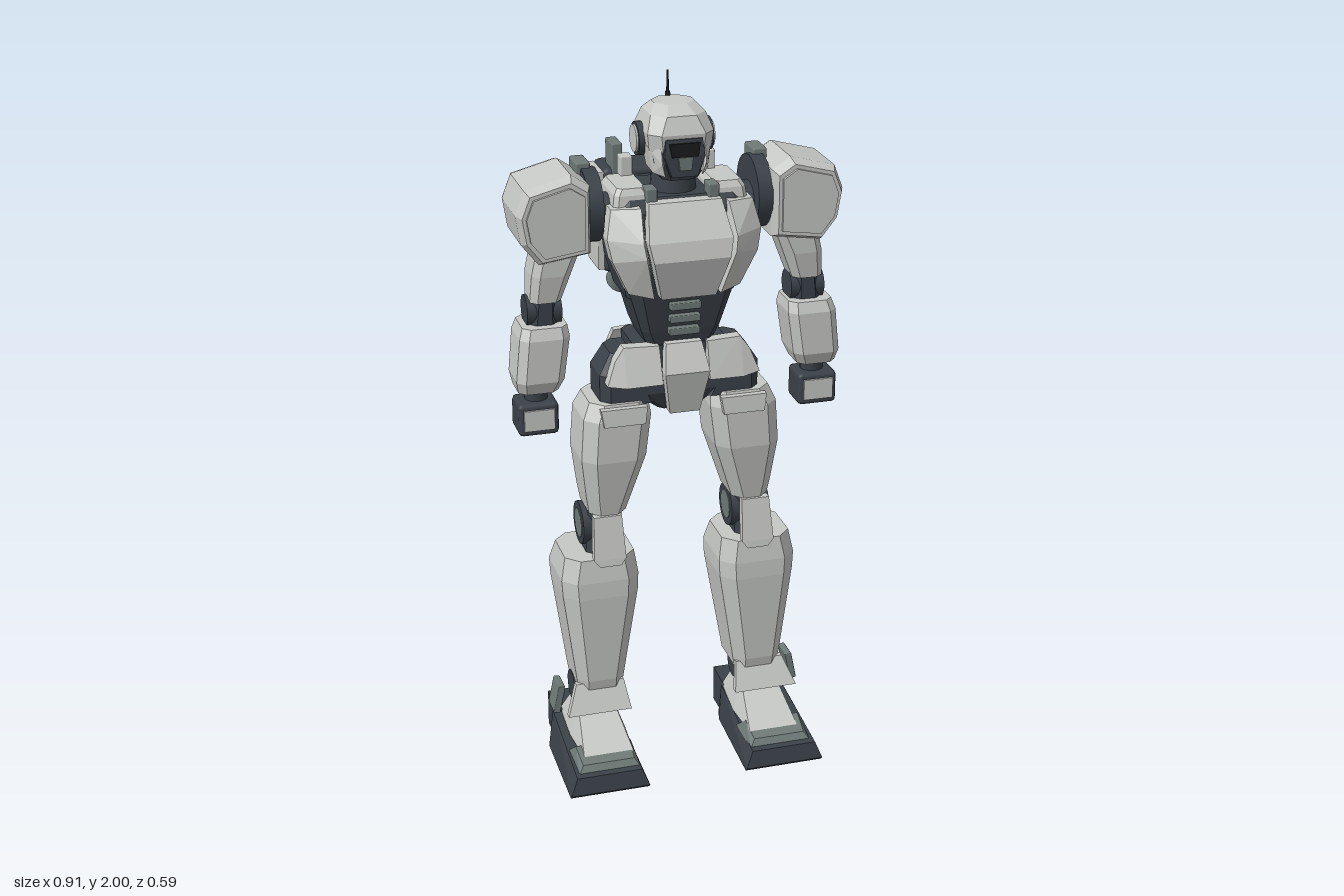
import * as THREE from 'three';
import { ConvexGeometry } from 'three/addons/geometries/ConvexGeometry.js';
import { RoundedBoxGeometry } from 'three/addons/geometries/RoundedBoxGeometry.js';

const paint = (name, color) => {
  const m = new THREE.MeshStandardMaterial({ color });
  m.name = name;
  return m;
};

export function createModel() {
  const light = paint('light grey armour', 0xc6c8c5);
  const dark = paint('dark slate frame', 0x3a4148);
  const mid = paint('grey green detail', 0x6e7a77);
  const black = paint('black recess', 0x17191c);
  const model = new THREE.Group();
  model.name = 'robot';

  const add = (name, geo, mat, parent = model) => {
    const m = new THREE.Mesh(geo, mat);
    m.name = name;
    parent.add(m);
    return m;
  };
  const hull = (pts) => new ConvexGeometry(pts.map((p) => new THREE.Vector3(...p)));

  // Chamfered body through sections [y, x0, x1, z0, z1, chamfer], mirrored by s
  const body = (secs, s = 1) => {
    const pts = [];
    for (const [y, x0, x1, z0, z1, c] of secs) {
      for (const [x, dx] of [[x0, c], [x1, -c]]) {
        for (const [z, dz] of [[z0, c], [z1, -c]]) {
          pts.push([s * (x + dx), y, z], [s * x, y, z + dz]);
        }
      }
    }
    return hull(pts);
  };
  // Armour plate from an outer outline of [x, y, z], thickened backwards
  const plate = (outline, t, s = 1) => hull(outline.flatMap(([x, y, z]) => [[s * x, y, z], [s * x, y, z - t]]));
  // Prism from a side profile of [z, y] between x0 and x1
  const sideProfile = (pts, x0, x1, s = 1) => hull(pts.flatMap(([z, y]) => [[s * x0, y, z], [s * x1, y, z]]));
  const box = (name, mat, x, y, z, w, h, d, parent) => {
    const m = add(name, new RoundedBoxGeometry(w, h, d, 1, Math.min(w, h, d) * 0.14), mat, parent);
    m.position.set(x, y, z);
    return m;
  };
  // Disc or barrel lying along x
  const barrel = (name, mat, x, y, z, r, len, parent) => {
    const m = add(name, new THREE.CylinderGeometry(r, r, len, 24), mat, parent);
    m.rotation.z = Math.PI / 2;
    m.position.set(x, y, z);
    return m;
  };

  // Head
  const head = new THREE.Group();
  head.name = 'head';
  model.add(head);
  add('helmet', body([[1.82, -0.085, 0.085, -0.06, 0.13, 0.03], [1.865, -0.09, 0.09, -0.06, 0.135, 0.03],
    [1.91, -0.075, 0.075, -0.045, 0.115, 0.035], [1.932, -0.055, 0.055, -0.02, 0.075, 0.03]]), light, head);
  add('innerHead', body([[1.74, -0.05, 0.05, -0.03, 0.12, 0.02], [1.79, -0.075, 0.075, -0.05, 0.135, 0.025],
    [1.83, -0.08, 0.08, -0.055, 0.13, 0.025]]), dark, head);
  add('faceFrame', plate([[-0.05, 1.855, 0.138], [0.05, 1.855, 0.138], [0.055, 1.81, 0.145],
    [0.035, 1.755, 0.145], [-0.035, 1.755, 0.145], [-0.055, 1.81, 0.145]], 0.04), dark, head);
  add('visor', plate([[-0.042, 1.845, 0.146], [0.042, 1.845, 0.146], [0.036, 1.81, 0.15], [-0.036, 1.81, 0.15]], 0.009), black, head);
  add('mouthGuard', plate([[-0.02, 1.81, 0.154], [0.02, 1.81, 0.154], [0.016, 1.775, 0.154], [-0.016, 1.775, 0.154]], 0.01), mid, head);
  box('rearHeadSlot', light, 0, 1.8, -0.052, 0.07, 0.015, 0.01, head);
  for (const s of [1, -1]) {
    barrel('earDisc', dark, s * 0.09, 1.835, 0.025, 0.045, 0.025, head);
    barrel('earCap', light, s * 0.1, 1.835, 0.025, 0.037, 0.016, head);
    add('cheekGuard', hull([[0.06, 1.83, 0.13], [0.088, 1.83, 0.09], [0.088, 1.83, 0.03], [0.08, 1.77, 0.05],
      [0.075, 1.76, 0.1], [0.05, 1.755, 0.135], [0.06, 1.79, 0.14], [0.06, 1.8, 0.04]].map(([x, y, z]) => [s * x, y, z])), light, head);
  }
  add('antenna', new THREE.CylinderGeometry(0.003, 0.004, 0.08, 8), black, head).position.set(0, 1.96, -0.02);
  add('antennaBase', new THREE.CylinderGeometry(0.007, 0.008, 0.025, 10), black, head).position.set(0, 1.93, -0.02);
  add('neck', new THREE.CylinderGeometry(0.055, 0.065, 0.1, 20), dark).position.set(0, 1.72, 0.03);

  // Torso
  add('torsoFrame', body([[1.42, -0.15, 0.15, -0.06, 0.13, 0.025], [1.5, -0.17, 0.17, -0.09, 0.15, 0.03],
    [1.66, -0.185, 0.185, -0.1, 0.14, 0.035], [1.695, -0.175, 0.175, -0.09, 0.11, 0.035]]), dark);
  add('abdomen', body([[1.26, -0.085, 0.085, -0.05, 0.11, 0.02], [1.32, -0.11, 0.11, -0.055, 0.125, 0.02],
    [1.45, -0.15, 0.15, -0.06, 0.15, 0.03]]), dark);
  for (let i = 0; i < 3; i++) box('abdomenVent', mid, 0, 1.325 + i * 0.038, 0.135 + i * 0.006, 0.085, 0.02, 0.03);
  add('chestPlate', plate([[-0.1, 1.69, 0.15], [0.1, 1.69, 0.15], [0.115, 1.6, 0.21], [0.105, 1.55, 0.222],
    [0.075, 1.435, 0.185], [-0.075, 1.435, 0.185], [-0.105, 1.55, 0.222], [-0.115, 1.6, 0.21]], 0.04), light);
  for (const s of [1, -1]) {
    add('sideChestPlate', plate([[0.12, 1.68, 0.15], [0.195, 1.675, 0.12], [0.212, 1.6, 0.145], [0.2, 1.54, 0.155],
      [0.155, 1.445, 0.145], [0.092, 1.435, 0.175], [0.122, 1.56, 0.215], [0.128, 1.6, 0.205]], 0.05, s), light);
    add('collarArmour', body([[1.67, 0.085, 0.185, -0.055, 0.115, 0.012], [1.705, 0.085, 0.18, -0.05, 0.11, 0.012],
      [1.722, 0.095, 0.17, -0.04, 0.1, 0.012]], s), light);
    box('collarBlock', light, s * 0.115, 1.74, -0.035, 0.034, 0.07, 0.04);
    box('collarFront', mid, s * 0.085, 1.705, 0.105, 0.03, 0.04, 0.05);
  }

  // Backpack
  const pack = new THREE.Group();
  pack.name = 'backpack';
  model.add(pack);
  box('packMount', dark, 0, 1.57, -0.105, 0.24, 0.24, 0.05, pack);
  box('packBody', dark, 0, 1.56, -0.185, 0.305, 0.3, 0.13, pack);
  box('packRearPanel', light, 0, 1.555, -0.264, 0.25, 0.235, 0.036, pack);
  box('packLowerVent', dark, 0, 1.445, -0.268, 0.12, 0.055, 0.04, pack);
  for (const s of [1, -1]) {
    box('packSidePanel', light, s * 0.157, 1.56, -0.188, 0.02, 0.28, 0.115, pack);
    box('packTopBlock', mid, s * 0.113, 1.735, -0.157, 0.03, 0.09, 0.075, pack);
    box('packSlot', black, s * 0.1, 1.55, -0.282, 0.012, 0.12, 0.008, pack);
    const thruster = new THREE.Group();
    thruster.name = 'thruster';
    thruster.position.set(s * 0.07, 1.375, -0.225);
    thruster.rotation.x = 0.7;
    pack.add(thruster);
    add('nozzle', new THREE.CylinderGeometry(0.03, 0.044, 0.085, 24), mid, thruster);
    add('nozzleMouth', new THREE.CylinderGeometry(0.034, 0.034, 0.006, 24), black, thruster).position.y = -0.042;
  }

  // Pelvis
  add('pelvis', body([[1.085, -0.06, 0.06, -0.03, 0.1, 0.015], [1.14, -0.13, 0.13, -0.055, 0.12, 0.02],
    [1.28, -0.13, 0.13, -0.055, 0.12, 0.02]]), dark);
  add('centreSkirt', plate([[-0.05, 1.29, 0.14], [0.05, 1.29, 0.14], [0.063, 1.215, 0.18], [0.042, 1.09, 0.15],
    [-0.042, 1.09, 0.15], [-0.063, 1.215, 0.18]], 0.035), light);
  add('rearCentreSkirt', plate([[-0.045, 1.28, -0.05], [0.045, 1.28, -0.05], [0.05, 1.14, -0.085], [-0.05, 1.14, -0.085]], 0.02), light);
  for (const s of [1, -1]) {
    add('frontSkirt', plate([[0.068, 1.285, 0.135], [0.165, 1.285, 0.125], [0.19, 1.25, 0.13], [0.215, 1.185, 0.145],
      [0.165, 1.18, 0.16], [0.066, 1.185, 0.17]], 0.035, s), light);
    add('rearSkirt', plate([[0.06, 1.28, -0.045], [0.15, 1.275, -0.04], [0.185, 1.16, -0.075], [0.07, 1.145, -0.085]], 0.022, s), light);
    add('hipFrame', body([[1.115, 0.06, 0.225, -0.03, 0.12, 0.025], [1.2, 0.1, 0.225, -0.035, 0.12, 0.025],
      [1.255, 0.1, 0.19, -0.03, 0.1, 0.025]], s), dark);
  }

  // Arms
  for (const s of [1, -1]) {
    const arm = new THREE.Group();
    arm.name = s > 0 ? 'leftArm' : 'rightArm';
    model.add(arm);
    barrel('shoulderAxle', dark, s * 0.22, 1.64, 0.03, 0.055, 0.12, arm);
    barrel('shoulderDisc', dark, s * 0.232, 1.665, 0.025, 0.1, 0.04, arm);
    box('shoulderBlock', mid, s * 0.245, 1.73, -0.012, 0.04, 0.1, 0.08, arm);
    // Shoulder guard swells in the middle of its depth
    const rim = [[0.25, 1.745], [0.3, 1.778], [0.425, 1.745], [0.45, 1.68], [0.437, 1.6], [0.39, 1.54], [0.25, 1.56]];
    const inset = (k) => rim.map(([x, y]) => [0.345 + (x - 0.345) * k, 1.66 + (y - 1.66) * k]);
    add('shoulderGuard', hull([[0.93, -0.07], [1, -0.045], [1, 0.115], [0.88, 0.145]]
      .flatMap(([k, z]) => inset(k).map(([x, y]) => [s * x, y, z]))), light, arm);
    add('shoulderFacePanel', plate(inset(0.78).map(([x, y]) => [x, y, 0.153]), 0.009, s), light, arm);
    add('upperArm', body([[1.425, 0.325, 0.41, 0, 0.1, 0.018], [1.5, 0.3, 0.405, -0.01, 0.11, 0.02],
      [1.57, 0.27, 0.39, -0.01, 0.11, 0.02]], s), light, arm);
    add('elbowFrame', body([[1.34, 0.335, 0.41, 0.01, 0.09, 0.015], [1.43, 0.335, 0.4, 0.01, 0.09, 0.015]], s), dark, arm);
    barrel('elbowJoint', dark, s * 0.37, 1.392, 0.045, 0.043, 0.095, arm);
    add('forearm', body([[1.175, 0.34, 0.45, 0.0, 0.115, 0.02], [1.21, 0.325, 0.457, -0.015, 0.13, 0.022],
      [1.33, 0.308, 0.445, -0.02, 0.128, 0.022], [1.36, 0.312, 0.435, -0.01, 0.115, 0.02]], s), light, arm);
    add('wrist', new THREE.CylinderGeometry(0.032, 0.032, 0.06, 16), dark, arm).position.set(s * 0.395, 1.155, 0.06);
    box('hand', dark, s * 0.398, 1.097, 0.063, 0.112, 0.094, 0.1, arm);
    box('knucklePlate', light, s * 0.398, 1.098, 0.114, 0.085, 0.06, 0.008, arm);
  }

  // Legs
  for (const s of [1, -1]) {
    const leg = new THREE.Group();
    leg.name = s > 0 ? 'leftLeg' : 'rightLeg';
    model.add(leg);
    add('thigh', body([[0.79, 0.155, 0.26, -0.04, 0.12, 0.028], [0.84, 0.145, 0.268, -0.05, 0.128, 0.03],
      [0.96, 0.1, 0.283, -0.06, 0.147, 0.035], [1.08, 0.085, 0.275, -0.055, 0.145, 0.035],
      [1.125, 0.09, 0.255, -0.04, 0.13, 0.035]], s), light, leg);
    add('thighPanel', plate([[0.105, 1.118, 0.15], [0.235, 1.118, 0.15], [0.228, 1.07, 0.156], [0.112, 1.07, 0.156]], 0.02, s), light, leg);
    add('kneeFrame', body([[0.64, 0.175, 0.265, -0.03, 0.085, 0.02], [0.8, 0.175, 0.255, -0.03, 0.085, 0.02]], s), dark, leg);
    barrel('kneeJoint', dark, s * 0.217, 0.73, 0.02, 0.062, 0.112, leg);
    barrel('kneeCap', mid, s * 0.217, 0.73, 0.02, 0.042, 0.116, leg);
    add('kneeGuard', plate([[0.175, 0.79, 0.128], [0.255, 0.79, 0.128], [0.262, 0.67, 0.155], [0.245, 0.65, 0.158],
      [0.185, 0.65, 0.158], [0.17, 0.67, 0.155]], 0.025, s), light, leg);
    add('shin', body([[0.235, 0.17, 0.3, -0.055, 0.118, 0.025], [0.27, 0.167, 0.305, -0.062, 0.125, 0.028],
      [0.54, 0.122, 0.34, -0.1, 0.135, 0.038], [0.59, 0.12, 0.343, -0.1, 0.133, 0.038],
      [0.657, 0.13, 0.33, -0.07, 0.122, 0.038]], s), light, leg);
    barrel('ankleJoint', dark, s * 0.245, 0.21, 0.025, 0.046, 0.12, leg);
    add('ankleFrame', body([[0.13, 0.2, 0.29, -0.01, 0.07, 0.015], [0.25, 0.2, 0.29, -0.01, 0.07, 0.015]], s), dark, leg);
    add('ankleGuard', plate([[0.17, 0.258, 0.11], [0.31, 0.258, 0.11], [0.343, 0.178, 0.15], [0.157, 0.178, 0.15]], 0.02, s), light, leg);
    const flap = box('ankleSideFlap', mid, s * 0.352, 0.195, 0.04, 0.02, 0.085, 0.07, leg);
    flap.rotation.z = s * 0.2;
    add('instep', hull([[0.175, 0.09, 0.235], [0.32, 0.09, 0.235], [0.175, 0.1, -0.04], [0.325, 0.1, -0.04], [0.165, 0.09, 0.1],
      [0.33, 0.09, 0.1], [0.195, 0.175, 0.085], [0.3, 0.175, 0.085], [0.2, 0.165, -0.015], [0.295, 0.165, -0.015]]
      .map(([x, y, z]) => [s * x, y, z])), light, leg);
    add('toeCap', hull([[0.165, 0.06, 0.275], [0.345, 0.06, 0.275], [0.18, 0.083, 0.26], [0.33, 0.083, 0.26],
      [0.16, 0.07, 0.15], [0.35, 0.07, 0.15], [0.175, 0.105, 0.19], [0.335, 0.105, 0.19]]
      .map(([x, y, z]) => [s * x, y, z])), mid, leg);
    // Sole: wide toe block and narrower heel block
    add('toeSole', hull([[0.145, 0.375, 0, 0.29], [0.145, 0.375, 0.012, 0.302], [0.165, 0.355, 0.062, 0.292],
      [0.165, 0.355, 0.085, 0.05], [0.155, 0.37, 0, 0.0], [0.17, 0.35, 0.1, -0.03], [0.165, 0.355, 0, -0.04]]
      .flatMap(([x0, x1, y, z]) => [[s * x0, y, z], [s * x1, y, z]])), dark, leg);
    add('heelSole', sideProfile([[0.0, 0], [-0.125, 0], [-0.125, 0.11], [-0.02, 0.105]], 0.175, 0.342, s), dark, leg);
  }
  return model;
}
